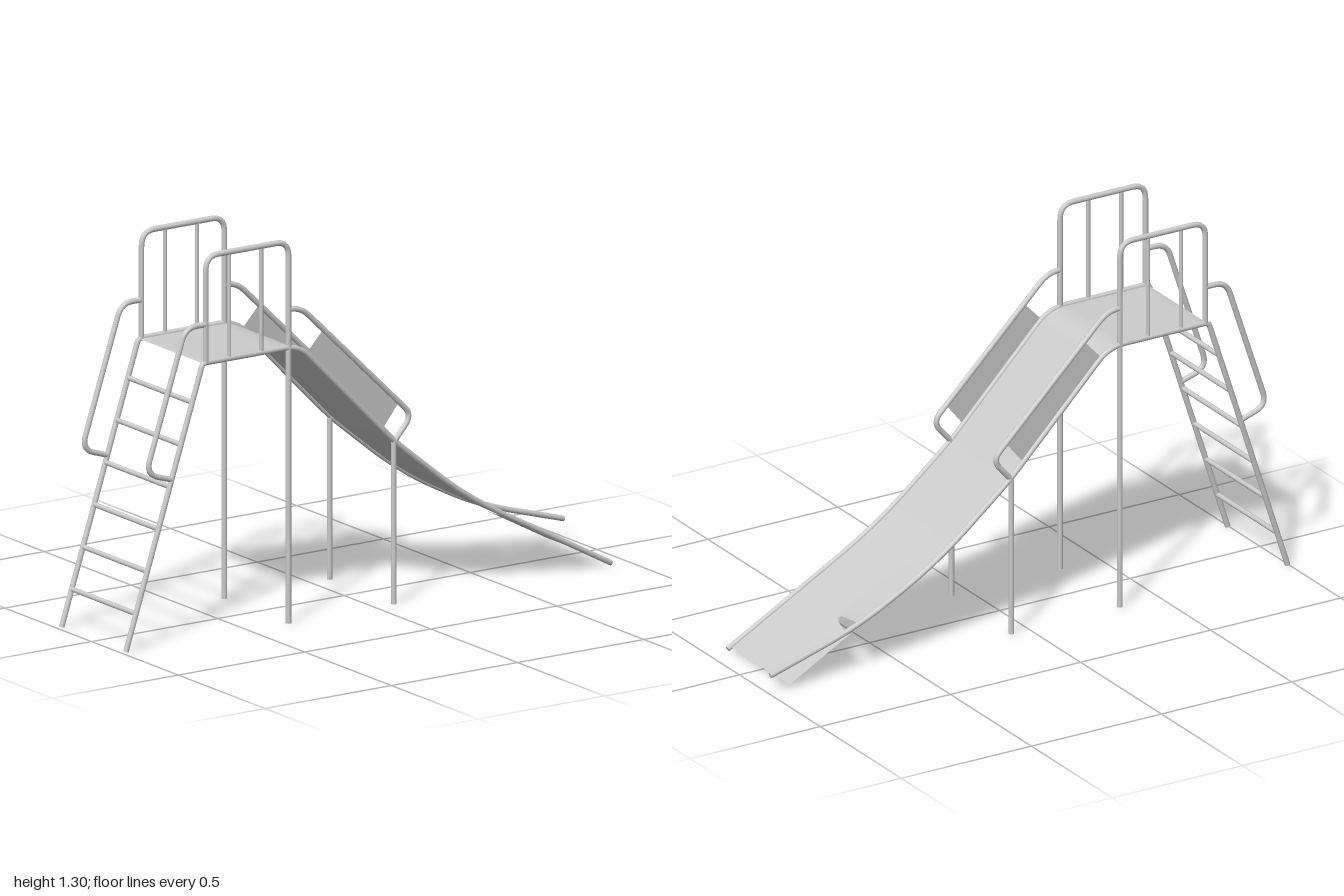
import * as THREE from 'three';

const HALF = 0.185; // rail distance from the centre line
const R = 0.0095; // pipe radius
const mat = new THREE.MeshStandardMaterial({ color: 0xcccccc });
const sheetMat = new THREE.MeshStandardMaterial({ color: 0xcccccc, side: THREE.DoubleSide });

// Polyline of [x, y, cornerCut] with every inner corner rounded
function roundedPath(points) {
  const path = new THREE.CurvePath();
  const v = points.map(([x, y]) => new THREE.Vector3(x, y, 0));
  let from = v[0];
  for (let i = 1; i < v.length - 1; i++) {
    const cut = points[i][2];
    const a = v[i].clone().add(v[i - 1].clone().sub(v[i]).setLength(cut));
    const b = v[i].clone().add(v[i + 1].clone().sub(v[i]).setLength(cut));
    path.add(new THREE.LineCurve3(from, a));
    path.add(new THREE.QuadraticBezierCurve3(a, v[i], b));
    from = b;
  }
  path.add(new THREE.LineCurve3(from, v[v.length - 1]));
  return path;
}

// Bent pipe with closed ends
function pipe(name, path, z, segments = 90) {
  const group = new THREE.Group();
  group.name = name;
  group.position.z = z;
  group.add(new THREE.Mesh(new THREE.TubeGeometry(path, segments, R, 10), mat));
  for (const [t, sign] of [[0, -1], [1, 1]]) {
    const cap = new THREE.Mesh(new THREE.CircleGeometry(R, 10), mat);
    const p = path.getPointAt(t);
    cap.position.copy(p);
    cap.lookAt(p.clone().addScaledVector(path.getTangentAt(t), sign));
    group.add(cap);
  }
  return group;
}

// Straight round bar between two points
function bar(name, from, to, radius) {
  const a = new THREE.Vector3(...from), b = new THREE.Vector3(...to);
  const dir = b.clone().sub(a);
  const mesh = new THREE.Mesh(new THREE.CylinderGeometry(radius, radius, dir.length(), 10), mat);
  mesh.name = name;
  mesh.position.copy(a).add(b).multiplyScalar(0.5);
  mesh.quaternion.setFromUnitVectors(new THREE.Vector3(0, 1, 0), dir.normalize());
  return mesh;
}

// Height lookup along a path, for a given x
function heightOf(path) {
  const pts = path.getSpacedPoints(300);
  return (x) => {
    let i = 1;
    while (i < pts.length - 1 && pts[i].x < x) i++;
    const a = pts[i - 1], b = pts[i];
    return THREE.MathUtils.lerp(a.y, b.y, THREE.MathUtils.clamp((x - a.x) / (b.x - a.x), 0, 1));
  };
}

// Sheet lofted over x stations, with its back edge given by zBack(x)
function sheet(name, xs, zBack, height, columns = 20) {
  const pos = [], index = [], row = columns + 1;
  xs.forEach((x, i) => {
    for (let j = 0; j <= columns; j++) {
      const z = THREE.MathUtils.lerp(zBack(x), HALF - 0.004, j / columns);
      pos.push(x, height(x, z), z);
      if (i && j) {
        const d = i * row + j, c = d - 1, b = d - row, a = b - 1;
        index.push(a, b, c, b, d, c);
      }
    }
  });
  const geo = new THREE.BufferGeometry();
  geo.setAttribute('position', new THREE.Float32BufferAttribute(pos, 3));
  geo.setIndex(index);
  geo.computeVertexNormals();
  const mesh = new THREE.Mesh(geo, sheetMat);
  mesh.name = name;
  return mesh;
}

const range = (a, b, n) => Array.from({ length: n + 1 }, (_, i) => a + (b - a) * i / n);

export function createModel() {
  const model = new THREE.Group();
  model.name = 'playgroundSlide';

  // Ladder, platform edge and chute in one pipe; the back one is bent up at its end
  const start = [[-0.991, 0.008], [-0.687, 0.938, 0.012], [-0.305, 0.938, 0.06],
    [0.075, 0.553, 0.06], [0.36, 0.32, 0.16]];
  const straight = roundedPath([...start, [0.93, 0.01]]);
  const bent = roundedPath([...start, [0.66, 0.165, 0.13], [0.996, 0.066]]);
  model.add(pipe('frontSideRail', straight, HALF, 200));
  model.add(pipe('backSideRail', bent, -HALF, 200));

  const guard = roundedPath([[-0.675, 0.938], [-0.675, 1.298, 0.05], [-0.347, 1.298, 0.05], [-0.347, 0.005]]);
  const ladderGrip = roundedPath([[-0.675, 1.067], [-0.755, 1.067, 0.045], [-0.912, 0.595, 0.05], [-0.812, 0.563]]);
  const chuteGrip = roundedPath([[-0.347, 1.067], [-0.3, 1.067, 0.045], [0.142, 0.635, 0.04], [0.07, 0.552]]);

  // Side panel between chute rail and grip
  const panelShape = new THREE.Shape([[-0.275, 0.908], [0.025, 0.603], [0.085, 0.678], [-0.212, 0.975]]
    .map(([x, y]) => new THREE.Vector2(x, y)));

  for (const [side, z] of [['front', HALF], ['back', -HALF]]) {
    model.add(pipe(side + 'GuardRailAndPost', guard, z, 140));
    model.add(pipe(side + 'LadderGrip', ladderGrip, z));
    model.add(pipe(side + 'ChuteGrip', chuteGrip, z));
    model.add(bar(side + 'ChutePost', [0.07, 0.005, z], [0.07, 0.552, z], R));
    for (const x of [-0.582, -0.455]) {
      model.add(bar(side + 'GuardBar', [x, 0.938, z], [x, 1.298, z], 0.007));
    }
    const panel = new THREE.Mesh(new THREE.ShapeGeometry(panelShape), sheetMat);
    panel.name = side + 'SidePanel';
    panel.position.z = z;
    model.add(panel);
  }

  // Ladder rungs
  for (let i = 0; i < 6; i++) {
    const x = -0.951 + i * 0.0445;
    const y = 0.008 + (x + 0.991) * 3.06;
    model.add(bar('rung', [x, y, -HALF], [x, y, HALF], 0.0085));
  }

  // Platform and chute sheet; the back edge is pulled up with the bent rail as far as the tear
  const yStraight = heightOf(straight), yBent = heightOf(bent);
  const tearX = 0.655, edge = -HALF + 0.004;
  const upper = (x, z) => THREE.MathUtils.lerp(yStraight(x), yBent(x),
    THREE.MathUtils.clamp((-0.07 - z) / 0.11, 0, 1));
  model.add(sheet('platformAndChute', range(-0.684, tearX, 90), () => edge, upper));

  // Lower chute beyond the tear, with the curved notch in its back edge
  const notch = [[0.655, -0.075], [0.662, -0.07], [0.672, -0.083], [0.68, -0.11], [0.686, -0.145], [0.69, edge]];
  const notchEdge = (x) => (notch.find((p) => Math.abs(p[0] - x) < 1e-6) || [0, edge])[1];
  const lowerXs = [...notch.map((p) => p[0]), ...range(0.71, 0.92, 6)];
  model.add(sheet('lowerChute', lowerXs, notchEdge, (x) => yStraight(x)));

  return model;
}
